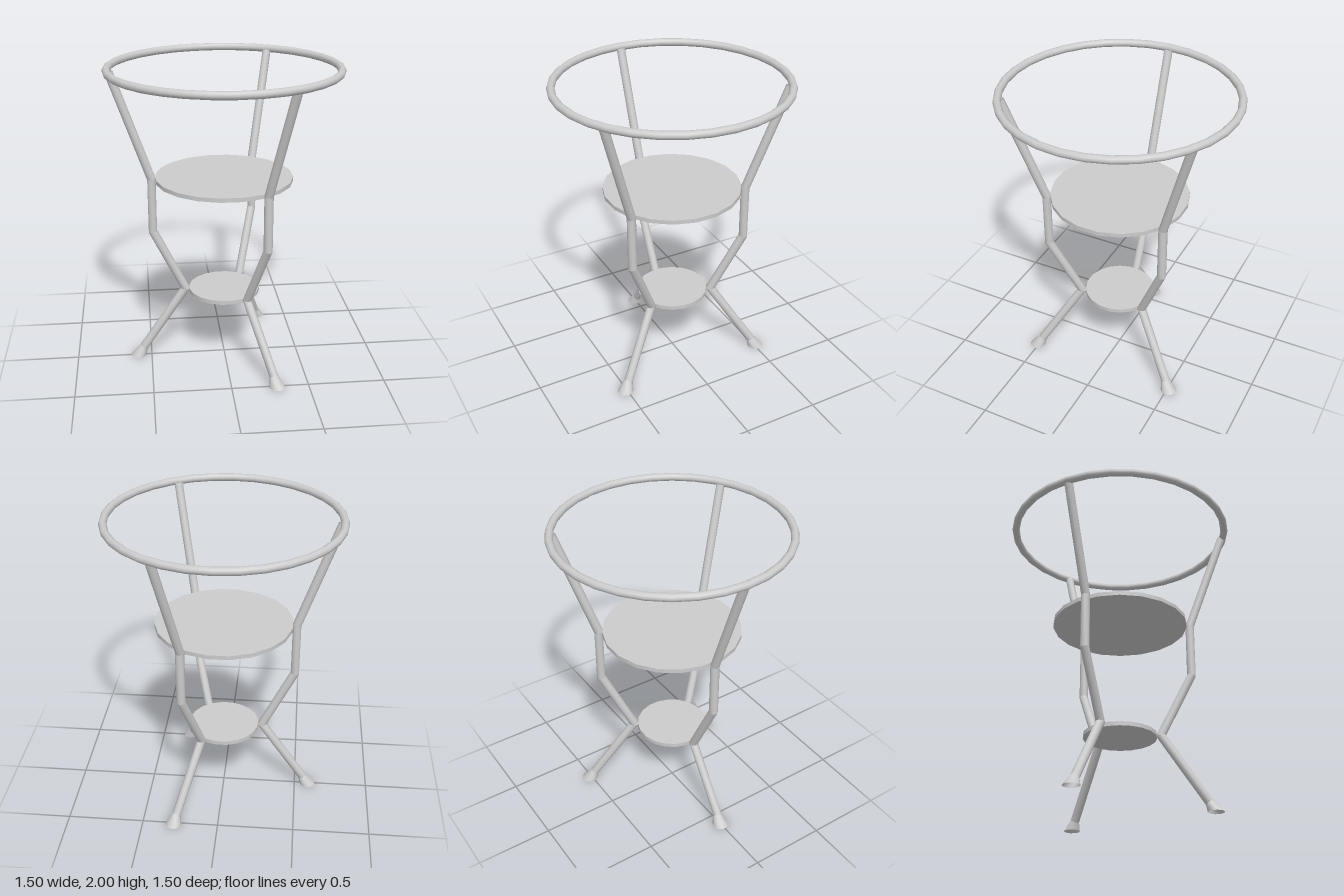
import * as THREE from 'three';

const material = new THREE.MeshStandardMaterial({ color: 0xcccccc, side: THREE.DoubleSide });
const SIDES = 10;
const LEG_R = 0.0285;

// Leg centre line as (distance from axis, height), from the rim to the foot
const PATH = [
  [0.71, 1.965], [0.467, 1.27], [0.467, 0.91], [0.26, 0.49], [0.551, 0.06], [0.59, 0],
].map(([x, y]) => new THREE.Vector2(x, y));

// Mitred cross-section at each path point: in-plane half width vector and depth
function sections() {
  const dirs = PATH.slice(1).map((p, i) => p.clone().sub(PATH[i]).normalize());
  return PATH.map((centre, i) => {
    if (i === PATH.length - 1) return { centre, n: new THREE.Vector2(0.053, 0), depth: 0.053 };
    const a = dirs[Math.max(i - 1, 0)], b = dirs[i];
    const t = a.clone().add(b).normalize();
    const n = new THREE.Vector2(-t.y, t.x).multiplyScalar(LEG_R / t.dot(b));
    return { centre, n, depth: LEG_R };
  });
}

// One straight length of leg between two cross-sections
function segmentGeometry(from, to) {
  const positions = [], index = [];
  for (const { centre, n, depth } of [from, to]) {
    for (let j = 0; j < SIDES; j++) {
      const a = ((j + 0.5) / SIDES) * Math.PI * 2;
      positions.push(centre.x + n.x * Math.cos(a), centre.y + n.y * Math.cos(a), depth * Math.sin(a));
    }
  }
  for (let j = 0; j < SIDES; j++) {
    const k = (j + 1) % SIDES;
    index.push(j, k, j + SIDES, k, k + SIDES, j + SIDES);
  }
  const geometry = new THREE.BufferGeometry();
  geometry.setAttribute('position', new THREE.Float32BufferAttribute(positions, 3));
  geometry.setIndex(index);
  geometry.computeVertexNormals();
  return geometry;
}

function addMesh(parent, name, geometry) {
  const mesh = new THREE.Mesh(geometry, material);
  mesh.name = name;
  parent.add(mesh);
  return mesh;
}

export function createModel() {
  const model = new THREE.Group();
  model.name = 'plantStand';

  // Top ring
  const rim = addMesh(model, 'topRing', new THREE.TorusGeometry(0.725, 0.025, 10, 32));
  rim.rotation.x = Math.PI / 2;
  rim.position.y = 1.975;

  // Two round shelves
  for (const [name, radius, y] of [['upperShelf', 0.445, 1.267], ['lowerShelf', 0.235, 0.48]]) {
    const shelf = addMesh(model, name, new THREE.CylinderGeometry(radius, radius, 0.027, 20));
    shelf.rotation.y = Math.PI / 20;
    shelf.position.y = y;
  }

  // Three bent legs with flared, open feet
  const rings = sections();
  const names = ['upperLeg', 'middleLeg', 'taperedLeg', 'lowerLeg', 'foot'];
  const parts = names.map((_, i) => segmentGeometry(rings[i], rings[i + 1]));
  [['rightLeg', Math.PI], ['frontLeftLeg', -Math.PI / 3], ['backLeftLeg', Math.PI / 3]].forEach(([name, angle]) => {
    const leg = new THREE.Group();
    leg.name = name;
    leg.rotation.y = angle;
    parts.forEach((geometry, i) => addMesh(leg, names[i], geometry));
    model.add(leg);
  });

  return model;
}
